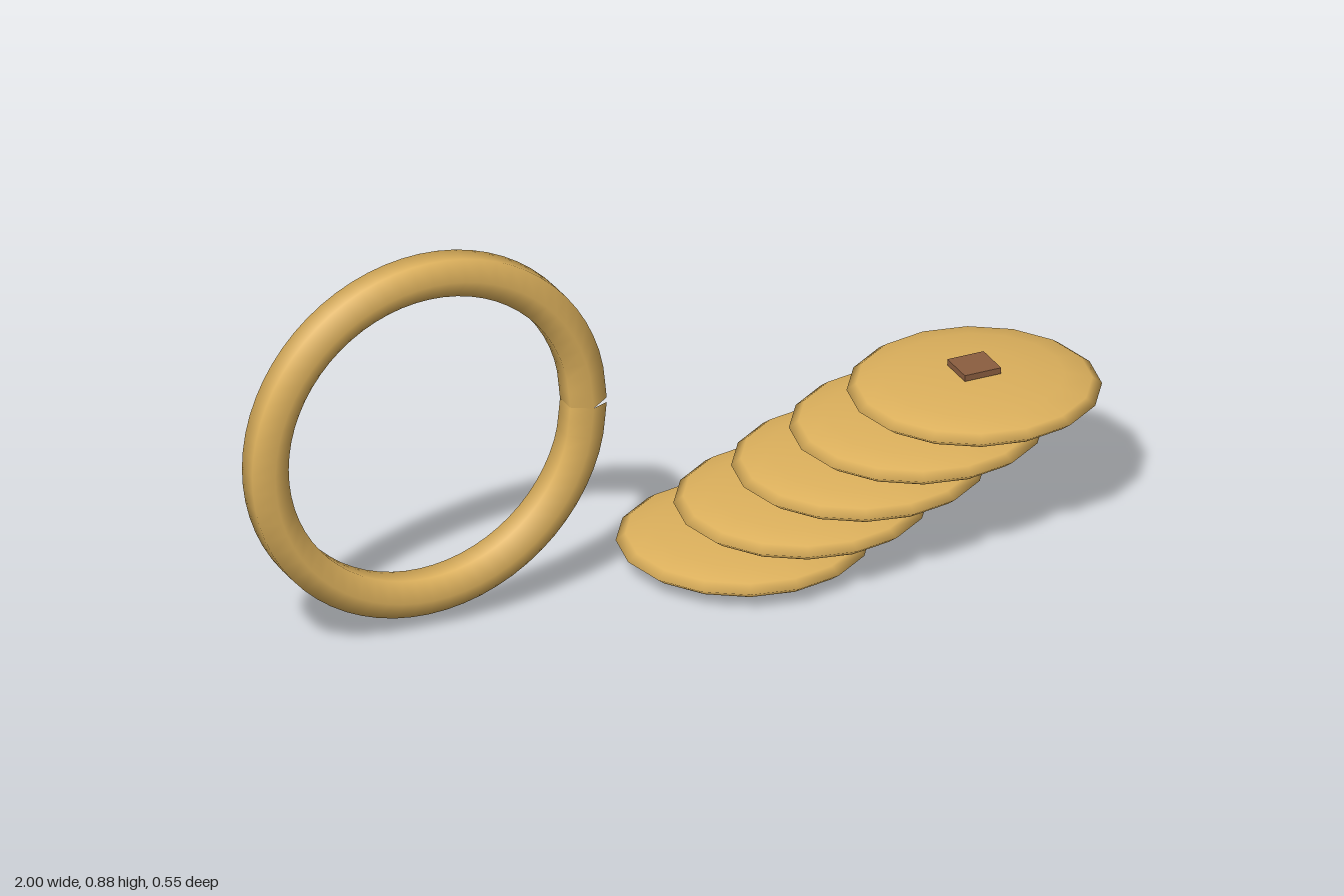
import * as THREE from 'three';

const golden = new THREE.MeshStandardMaterial({ color: 0xdcb05c });
golden.name = 'golden';
const brown = new THREE.MeshStandardMaterial({ color: 0x8b5e40 });
brown.name = 'brown';

function addMesh(group, name, geometry, material, x, y, z = 0) {
  const mesh = new THREE.Mesh(geometry, material);
  mesh.name = name;
  mesh.position.set(x, y, z);
  group.add(mesh);
  return mesh;
}

export function createModel() {
  const model = new THREE.Group();
  model.name = 'ringAndDiscs';

  // Upright six-sided ring, an open curve whose ends meet in a small notch at +x
  const points = [];
  for (let i = 0; i <= 24; i++) {
    const a = (i / 24) * Math.PI * 2;
    points.push(new THREE.Vector3(0.377 * Math.cos(a), 0.377 * Math.sin(a), 0));
  }
  const path = new THREE.CatmullRomCurve3(points);
  addMesh(model, 'ring', new THREE.TubeGeometry(path, 64, 0.05, 6, false), golden, -0.58, 0.457);

  // Staggered stack of flattened discs, stepping up towards +x
  const discs = new THREE.Group();
  discs.name = 'discStack';
  model.add(discs);
  const disc = new THREE.SphereGeometry(0.273, 16, 8);
  disc.scale(1, 0.041 / 0.273, 1);
  for (let i = 0; i < 5; i++) {
    addMesh(discs, `disc${i + 1}`, disc, golden, 0.176 + 0.1368 * i, 0.042 + 0.0594 * i);
  }

  // Small square plate on the top disc
  addMesh(model, 'topPlate', new THREE.BoxGeometry(0.086, 0.014, 0.086), brown, 0.723, 0.328);

  return model;
}
